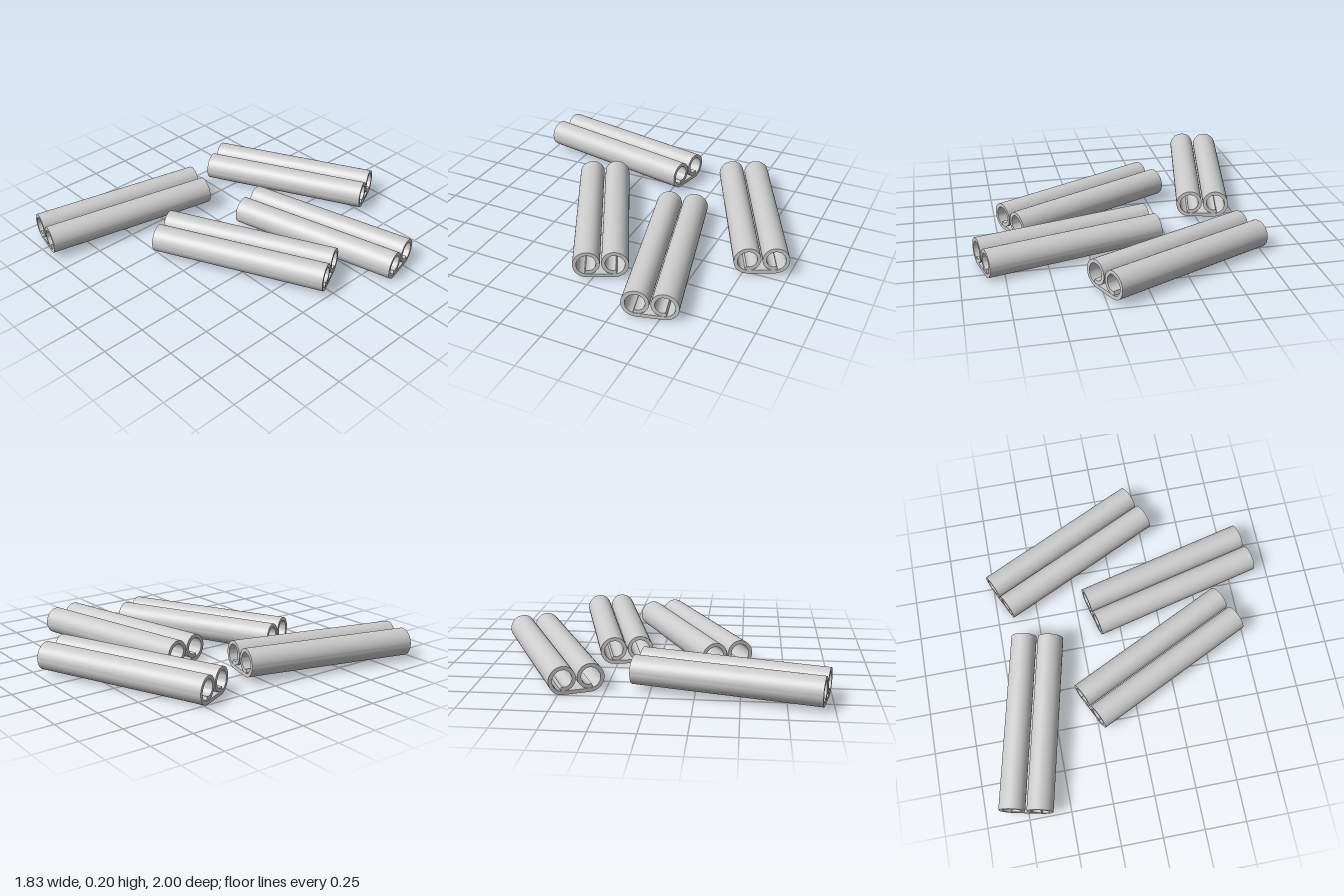
import * as THREE from 'three';
import { toCreasedNormals } from 'three/addons/utils/BufferGeometryUtils.js';

const T = 0.022;      // bark thickness
const R = 0.072;      // outer curl radius (mid-line)
const C = 0.077;      // curl centre, each side of the groove
const LENGTH = 1.065;

// Mid-line of one half of the double scroll, from bottom centre to inner tip
function halfScroll() {
  const pts = [new THREE.Vector2(0, -R)];
  const start = -Math.PI / 2, end = THREE.MathUtils.degToRad(285), n = 44;
  for (let i = 0; i <= n; i++) {
    const a = start + (end - start) * i / n;
    const k = Math.max(0, (a - 1.9) / (end - 1.9));
    const r = R - 0.026 * k;
    pts.push(new THREE.Vector2(C + r * Math.cos(a), r * Math.sin(a)));
  }
  return pts;
}

// Closed outline: the mid-line thickened to both sides
function scrollShape() {
  const right = halfScroll();
  const left = right.slice(1).reverse().map(p => new THREE.Vector2(-p.x, p.y));
  const line = [...left, ...right];
  const outer = [], inner = [];
  line.forEach((p, i) => {
    const a = line[Math.max(0, i - 1)], b = line[Math.min(line.length - 1, i + 1)];
    const d = b.clone().sub(a).normalize().multiplyScalar(T / 2);
    outer.push(new THREE.Vector2(p.x + d.y, p.y - d.x));
    inner.push(new THREE.Vector2(p.x - d.y, p.y + d.x));
  });
  return new THREE.Shape([...outer, ...inner.reverse()]);
}

export function createModel() {
  const model = new THREE.Group();
  model.name = 'rolledBarkSticks';
  const material = new THREE.MeshStandardMaterial({ color: 0xcccccc });

  const raw = new THREE.ExtrudeGeometry(scrollShape(), { depth: LENGTH, bevelEnabled: false, steps: 1 });
  raw.translate(0, 0, -LENGTH / 2);
  const geometry = toCreasedNormals(raw, 0.7);

  // Each stick lies between two end points
  const sticks = [
    ['backStick', [-0.713, 0.086, -0.4], [0.248, 0.103, -0.855]],
    ['rightStick', [-0.16, 0.086, -0.193], [0.873, 0.088, -0.448]],
    ['middleStick', [-0.28, 0.11, 0.415], [0.673, 0.106, -0.05]],
    ['leftStick', [-0.523, 0.116, -0.078], [-0.758, 0.104, 0.963]],
  ];
  for (const [name, from, to] of sticks) {
    const a = new THREE.Vector3(...from), b = new THREE.Vector3(...to);
    const stick = new THREE.Mesh(geometry, material);
    stick.name = name;
    stick.position.copy(a).lerp(b, 0.5);
    stick.lookAt(b);
    model.add(stick);
  }
  return model;
}
